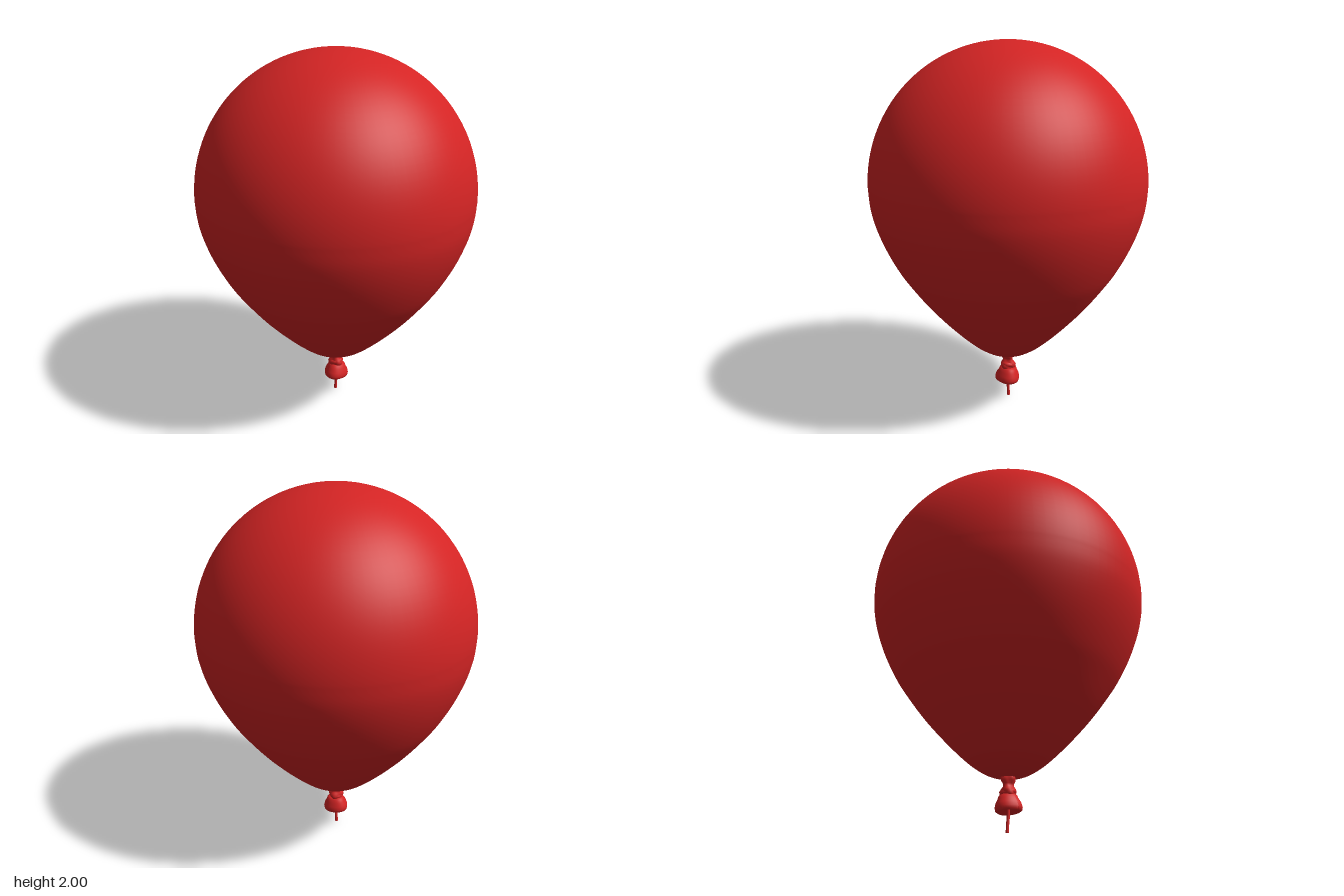
import * as THREE from 'three';

const red = new THREE.MeshStandardMaterial({ color: 0xd42424 });
red.name = 'balloon red';

const vectors = (pairs) => pairs.map(([r, y]) => new THREE.Vector2(r, y));

function addMesh(group, name, geometry) {
  const mesh = new THREE.Mesh(geometry, red);
  mesh.name = name;
  group.add(mesh);
  return mesh;
}

// Lathe whose radius ripples around the axis, for gathered rubber
function rippledLathe(pairs, folds, depth, twist) {
  const geometry = new THREE.LatheGeometry(vectors(pairs), 36);
  const p = geometry.attributes.position;
  for (let i = 0; i < p.count; i++) {
    const x = p.getX(i), y = p.getY(i), z = p.getZ(i);
    const s = 1 + depth * Math.sin(folds * Math.atan2(x, z) + twist * y);
    p.setXYZ(i, x * s, y, z * s);
  }
  geometry.computeVertexNormals();
  return geometry;
}

export function createModel() {
  const group = new THREE.Group();
  group.name = 'balloon';

  // Body: tapered spline below, round dome above
  const lower = new THREE.SplineCurve(vectors([
    [0, 0.268], [0.09, 0.282], [0.17, 0.325], [0.25, 0.391], [0.35, 0.49], [0.45, 0.602],
    [0.54, 0.72], [0.6, 0.81], [0.66, 0.925], [0.705, 1.04], [0.732, 1.15], [0.74, 1.255],
  ])).getPoints(44);
  const profile = lower.slice();
  for (let i = 1; i <= 32; i++) {
    const a = (i / 32) * Math.PI / 2;
    profile.push(new THREE.Vector2(Math.max(0, 0.74 * Math.cos(a)), 1.255 + 0.745 * Math.sin(a)));
  }
  addMesh(group, 'body', new THREE.LatheGeometry(profile, 80));

  // Twisted neck
  addMesh(group, 'neck', rippledLathe([
    [0.03, 0.16], [0.038, 0.185], [0.042, 0.2], [0.036, 0.215], [0.027, 0.228],
    [0.028, 0.24], [0.036, 0.255], [0.036, 0.27], [0.03, 0.285],
  ], 3, 0.1, 50));

  // Wrap of rubber tied around the neck
  const wrap = addMesh(group, 'knotWrap', new THREE.TorusGeometry(0.028, 0.014, 10, 28));
  wrap.position.y = 0.2;
  wrap.rotation.set(Math.PI / 2, 0.25, 0);

  // Flared lip, closed underneath and slightly tilted
  const lip = addMesh(group, 'lip', rippledLathe([
    [0, 0.002], [0.045, -0.034], [0.058, -0.037], [0.067, -0.03], [0.069, -0.015],
    [0.064, 0.005], [0.053, 0.025], [0.046, 0.043], [0.034, 0.05], [0, 0.048],
  ], 3, 0.05, 0));
  lip.position.y = 0.136;
  lip.rotation.x = -0.08;

  // Short tail hanging from the knot
  const tailPath = new THREE.CatmullRomCurve3([
    new THREE.Vector3(0.004, 0.14, 0), new THREE.Vector3(0.002, 0.08, 0),
    new THREE.Vector3(-0.003, 0.04, 0), new THREE.Vector3(-0.005, 0.001, 0),
  ]);
  addMesh(group, 'tail', new THREE.TubeGeometry(tailPath, 12, 0.008, 10));
  const tip = addMesh(group, 'tailTip', new THREE.SphereGeometry(0.008, 10, 8));
  tip.position.set(-0.005, 0.008, 0);

  return group;
}
